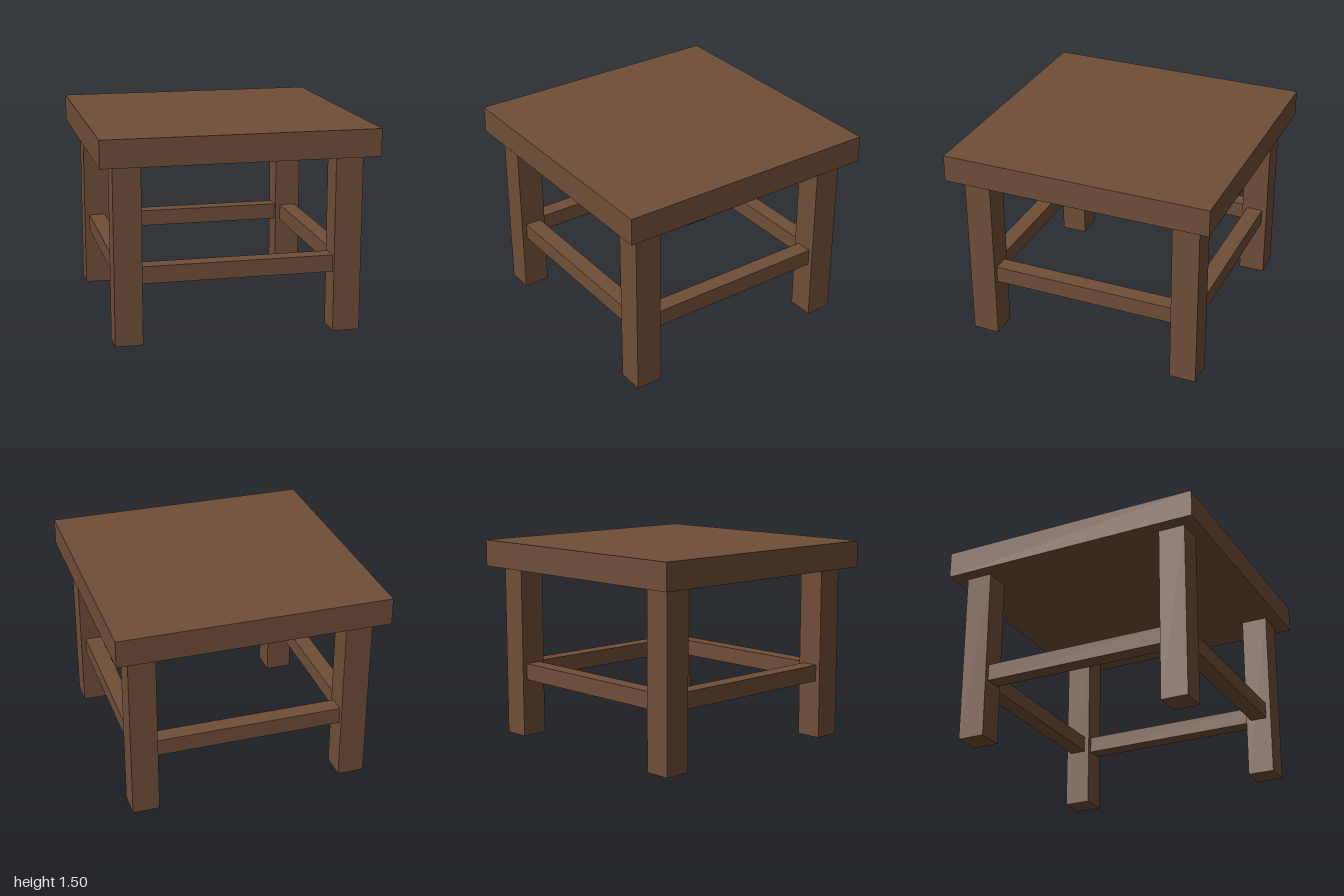
import * as THREE from 'three';

export function createModel() {
  const group = new THREE.Group();
  const wood = new THREE.MeshStandardMaterial({ color: 0x6f4e37 });

  const addBox = (name, [w, h, d], [x, y, z]) => {
    const mesh = new THREE.Mesh(new THREE.BoxGeometry(w, h, d), wood);
    mesh.name = name;
    mesh.position.set(x, y, z);
    group.add(mesh);
  };

  const legHeight = 1.305, legWidth = 0.2, legOffset = 0.8;
  const railSize = 0.125, railLength = 2 * legOffset - legWidth, railY = 0.5025;

  // Square slab top
  addBox('tableTop', [2, 0.2, 2], [0, legHeight + 0.1, 0]);

  // Four square legs
  for (const [side, x] of [['Left', legOffset], ['Right', -legOffset]]) {
    for (const [end, z] of [['front', legOffset], ['back', -legOffset]]) {
      addBox(`${end}${side}Leg`, [legWidth, legHeight, legWidth], [x, legHeight / 2, z]);
    }
  }

  // Stretchers between neighbouring legs
  for (const [name, s] of [['front', 1], ['back', -1]]) {
    addBox(`${name}Stretcher`, [railLength, railSize, railSize], [0, railY, s * legOffset]);
  }
  for (const [name, s] of [['left', 1], ['right', -1]]) {
    addBox(`${name}Stretcher`, [railSize, railSize, railLength], [s * legOffset, railY, 0]);
  }

  return group;
}
